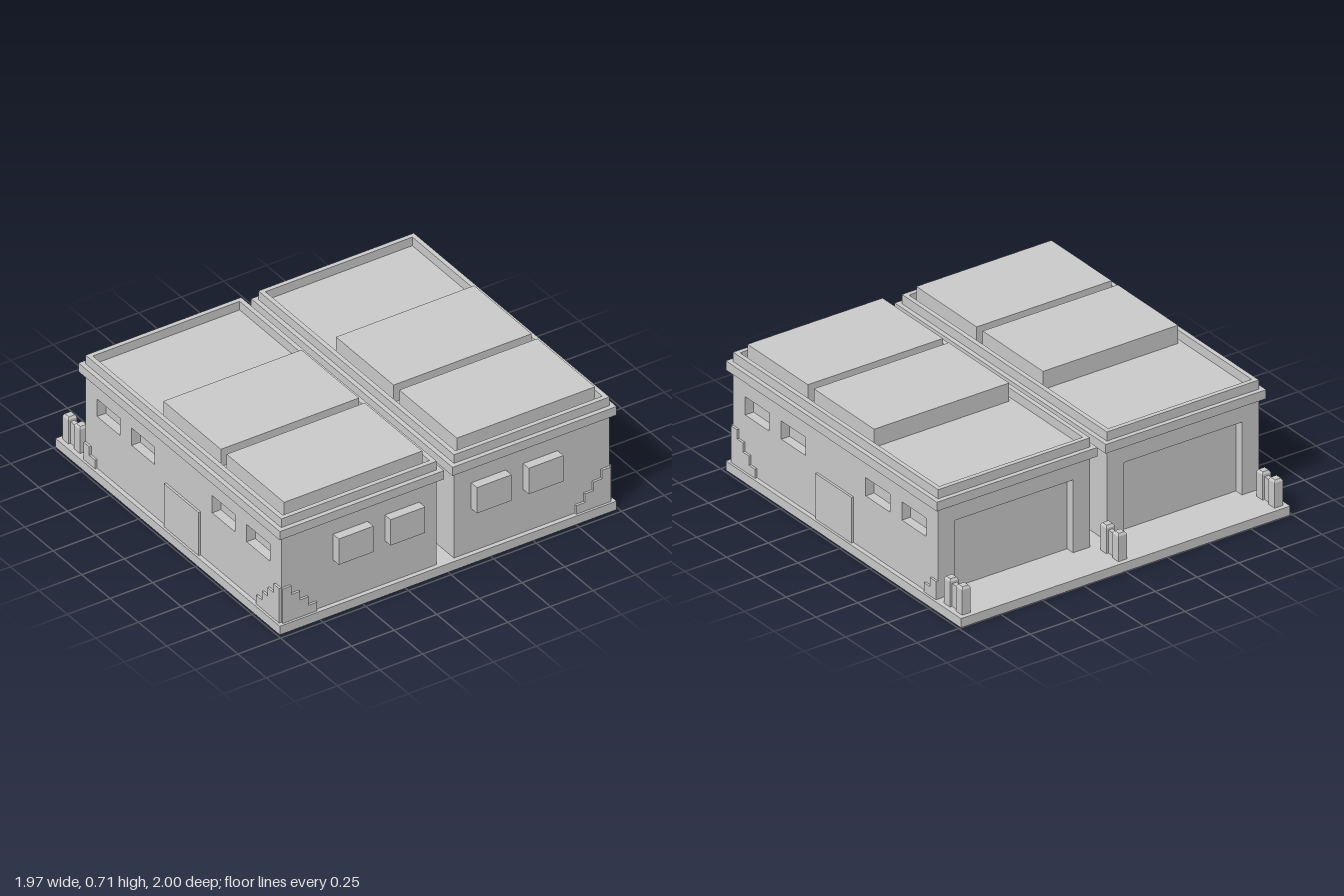
import * as THREE from 'three';

// All dimensions below are in modules; U is the size of one module
const U = 2 / 39.5;
const material = new THREE.MeshStandardMaterial({ color: 0xcccccc, flatShading: true });
const shellMaterial = material.clone();
shellMaterial.side = THREE.DoubleSide;

function add(parent, name, geometry, mat = material) {
  const mesh = new THREE.Mesh(geometry.scale(U, U, U), mat);
  mesh.name = name;
  parent.add(mesh);
}

// Box geometry given by its limits on each axis
function boxGeometry([xa, xb], [ya, yb], [za, zb]) {
  const geometry = new THREE.BoxGeometry(Math.abs(xb - xa), yb - ya, zb - za);
  return geometry.translate((xa + xb) / 2, (ya + yb) / 2, (za + zb) / 2);
}

const box = (parent, name, ...limits) => add(parent, name, boxGeometry(...limits));

// Box without its underside, for the hollow slab and parts standing on others
function openBox(parent, name, ...limits) {
  const geometry = boxGeometry(...limits);
  const index = Array.from(geometry.index.array);
  index.splice(18, 6);
  geometry.setIndex(index);
  geometry.clearGroups();
  add(parent, name, geometry, shellMaterial);
}

const polygon = (pts, Type = THREE.Shape) => new Type(pts.map(([x, y]) => new THREE.Vector2(x, y)));
const extrude = (shape, depth) => new THREE.ExtrudeGeometry(shape, { depth, bevelEnabled: false });

// Counter-clockwise rectangle, whatever the order of its limits
function rect(xa, xb, ya, yb, Type) {
  const [l, r] = [Math.min(xa, xb), Math.max(xa, xb)];
  return polygon([[l, ya], [r, ya], [r, yb], [l, yb]], Type);
}

// Stepped corner profile: starts at u and falls one module per step along dir
function stairs(u, dir, count, top) {
  const pts = [[u, 1]];
  for (let i = 0; i < count; i++) {
    pts.push([u + dir * i, top - i], [u + dir * (i + 1), top - i]);
  }
  pts.push([u + dir * count, 1]);
  return polygon(pts);
}

function createBuilding(s) {
  const g = new THREE.Group();
  g.name = s > 0 ? 'leftBuilding' : 'rightBuilding';
  const X = (a, b) => [s * a, s * b];

  // Panel in the z-y plane, from x = inner to inner + depth on the outer side
  const sidePanel = (name, shape, inner, depth) => {
    const geometry = extrude(shape, depth).rotateY(-Math.PI / 2);
    add(g, name, geometry.translate(s > 0 ? inner + depth : -inner, 0, 0));
  };

  // Core, seen at the back of the window and gate recesses
  openBox(g, 'core', X(1, 18), [1, 11], [-14.25, 18.75]);

  // Outer side wall with four windows
  const wall = rect(-15.25, 18.75, 1, 11);
  for (const z of [12.75, 6.75, -7.25, -13.25]) {
    wall.holes.push(rect(z, z + 4, 7, 9, THREE.Path));
  }
  sidePanel('sideWall', wall, 18, 1);
  box(g, 'sideDoor', X(19, 19.25), [1, 6], [-1.25, 4.75]);

  // Rear wall framing the recessed gate
  const frame = polygon([
    [1, 1], [3, 1], [3, 9], [17, 9], [17, 1], [18, 1], [18, 11], [1, 11],
  ].map(([x, y]) => [s * x, y]));
  add(g, 'gateWall', extrude(frame, 1).translate(0, 0, -15.25));

  // Front boxes
  for (const x of [3, 9]) box(g, 'frontBox', X(x, x + 4), [6, 9], [18.75, 19.75]);

  // Stepped reinforcement at the outer corners
  add(g, 'frontCornerSteps', extrude(stairs(s * 19, -s, 4, 5), 0.25).translate(0, 0, 18.75));
  sidePanel('sideFrontSteps', stairs(18.75, -1, 4, 5), 19, 0.25);
  sidePanel('sideRearSteps', stairs(-15.25, 1, 2, 3), 19, 0.25);

  // Cornice, parapet around the sunken roof, and raised roof blocks
  box(g, 'cornice', X(0.5, 19.5), [11, 12], [-15.75, 19.25]);
  const rim = rect(s, s * 19, -15.25, 18.75);
  rim.holes.push(rect(s * 1.5, s * 18.5, -14.75, 18.25, THREE.Path));
  add(g, 'parapet', extrude(rim, 1).rotateX(Math.PI / 2).translate(0, 13, 0));
  openBox(g, 'rearRoofBlock', X(2, 18), [12, 14], [-3.25, 6.75]);
  openBox(g, 'frontRoofBlock', X(2, 18), [12, 14], [7.75, 17.75]);
  return g;
}

// Pair of posts with tapered tops, joined by a thin web, reaching through the slab
function createBarrier(x) {
  const g = new THREE.Group();
  g.name = 'barrier';
  for (const z of [-18.75, -16.75]) {
    box(g, 'post', [x - 0.5, x + 0.5], [0, 3.75], [z - 0.5, z + 0.5]);
    const cap = new THREE.CylinderGeometry(0.35 * Math.SQRT2, 0.5 * Math.SQRT2, 0.25, 4);
    add(g, 'postCap', cap.rotateY(Math.PI / 4).translate(x, 3.875, z));
  }
  box(g, 'web', [x - 0.25, x + 0.25], [0, 3.5], [-18.25, -17.25]);
  return g;
}

export function createModel() {
  const model = new THREE.Group();
  model.name = 'twinGarage';
  openBox(model, 'baseSlab', [-19.5, 19.5], [0, 1], [-19.75, 19.25]);
  for (const s of [1, -1]) model.add(createBuilding(s));
  for (const x of [-18.5, 0, 18.5]) model.add(createBarrier(x));
  return model;
}
